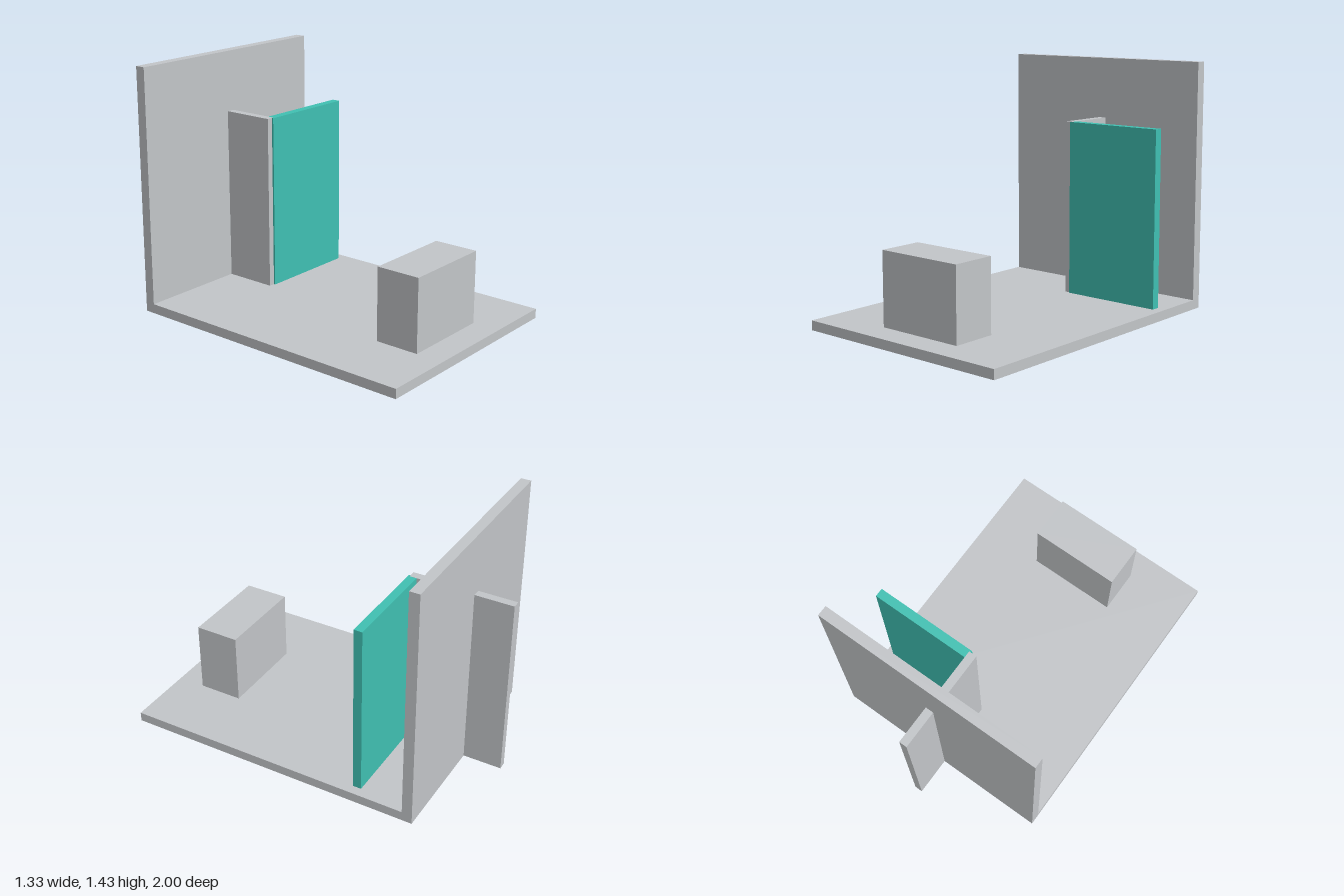
import * as THREE from 'three';

export function createModel() {
  const model = new THREE.Group();
  const grey = new THREE.MeshStandardMaterial({ color: 0xc3c6c9 });
  grey.name = 'light grey';
  const teal = new THREE.MeshStandardMaterial({ color: 0x40c1b3 });
  teal.name = 'teal';

  // Box given by its extents on each axis
  function slab(name, material, [x0, x1], [y0, y1], [z0, z1]) {
    const mesh = new THREE.Mesh(new THREE.BoxGeometry(x1 - x0, y1 - y0, z1 - z0), material);
    mesh.position.set((x0 + x1) / 2, (y0 + y1) / 2, (z0 + z1) / 2);
    mesh.name = name;
    model.add(mesh);
  }

  // Floor and the tall wall at its back edge
  slab('floor', grey, [-0.665, 0.665], [0, 0.055], [-0.715, 1]);
  slab('backWall', grey, [-0.665, 0.665], [0, 1.425], [-0.775, -0.715]);

  // Upright fin passing through the wall
  slab('partition', grey, [-0.025, 0.022], [0, 1.07], [-1, -0.4]);

  // Coloured panel set into the floor, its foot showing underneath
  slab('panel', teal, [0.01, 0.61], [-0.0005, 1.0695], [-0.44, -0.39]);

  // Block near the front edge
  slab('block', grey, [-0.267, 0.267], [0.055, 0.475], [0.58, 0.84]);

  return model;
}
